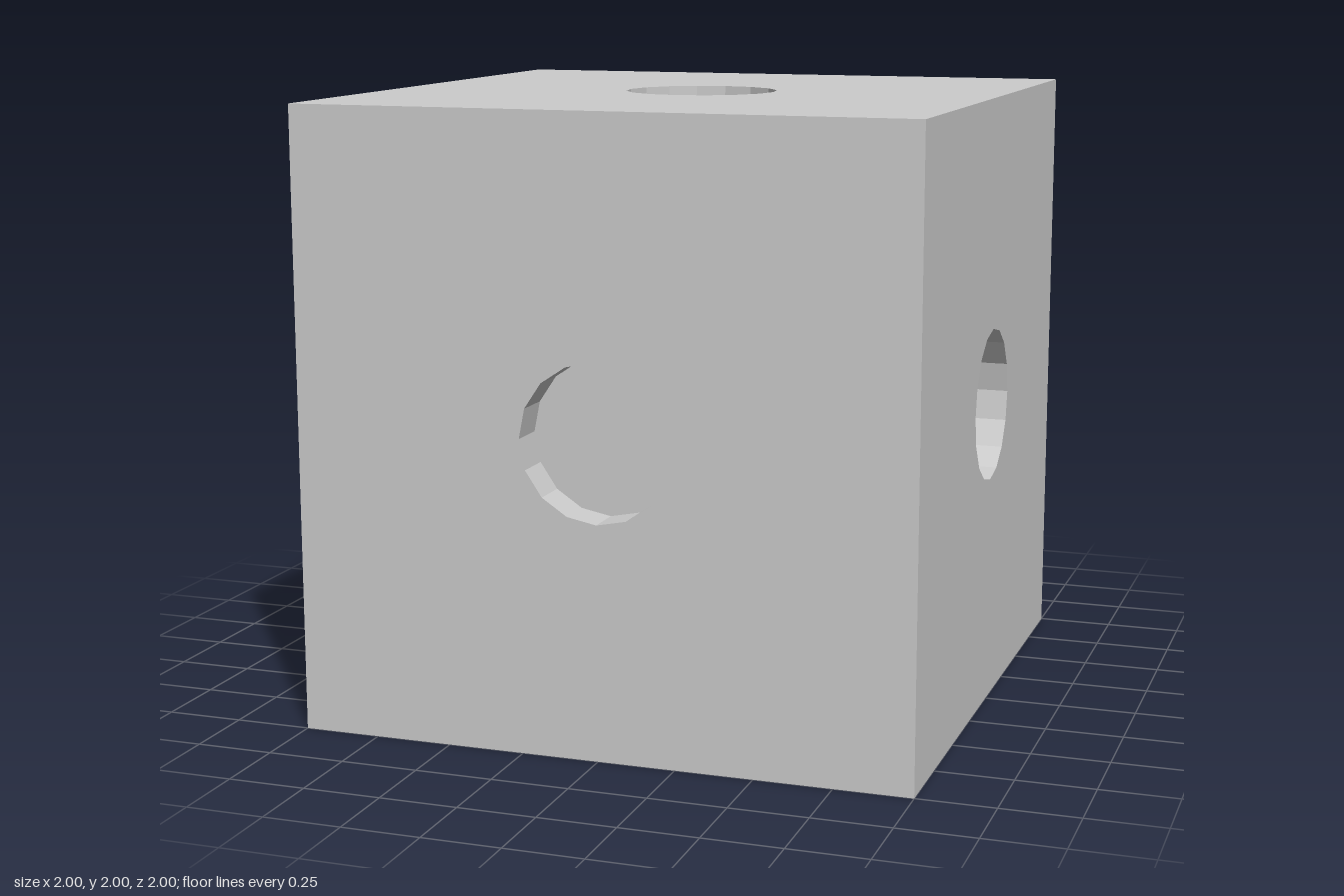
import * as THREE from 'three';

const HALF = 1, RADIUS = 0.25, DEPTH = 0.125, SIDES = 16;

export function createModel() {
  const model = new THREE.Group();
  model.name = 'recessedCube';
  const material = new THREE.MeshStandardMaterial({ color: 0xcccccc, flatShading: true });

  // Square face with a 16-sided opening
  const square = new THREE.Shape([[-1, -1], [1, -1], [1, 1], [-1, 1]]
    .map(([x, y]) => new THREE.Vector2(x * HALF, y * HALF)));
  const rim = [];
  for (let i = 0; i < SIDES; i++) {
    const a = -i / SIDES * Math.PI * 2;
    rim.push(new THREE.Vector2(Math.cos(a) * RADIUS, Math.sin(a) * RADIUS));
  }
  square.holes.push(new THREE.Path(rim));
  const faceGeometry = new THREE.ShapeGeometry(square).translate(0, 0, HALF);

  // Recess wall, mirrored so that it faces inward
  const wallGeometry = new THREE.CylinderGeometry(RADIUS, RADIUS, DEPTH, SIDES, 1, true)
    .toNonIndexed()
    .scale(-1, 1, 1)
    .rotateX(Math.PI / 2)
    .translate(0, 0, HALF - DEPTH / 2);
  wallGeometry.computeVertexNormals();

  // Flat recess floor
  const floorGeometry = new THREE.CircleGeometry(RADIUS, SIDES).translate(0, 0, HALF - DEPTH);

  // One recessed panel turned to each of the six directions
  const q = Math.PI / 2;
  const panels = {
    front: [0, 0], left: [0, q], back: [0, 2 * q], right: [0, -q], top: [-q, 0], bottom: [q, 0],
  };
  for (const [side, [rx, ry]] of Object.entries(panels)) {
    const panel = new THREE.Group();
    panel.name = `${side}Panel`;
    const parts = { Face: faceGeometry, RecessWall: wallGeometry, RecessFloor: floorGeometry };
    for (const [part, geometry] of Object.entries(parts)) {
      const mesh = new THREE.Mesh(geometry, material);
      mesh.name = side + part;
      panel.add(mesh);
    }
    panel.rotation.set(rx, ry, 0);
    panel.position.y = HALF;
    model.add(panel);
  }
  return model;
}
